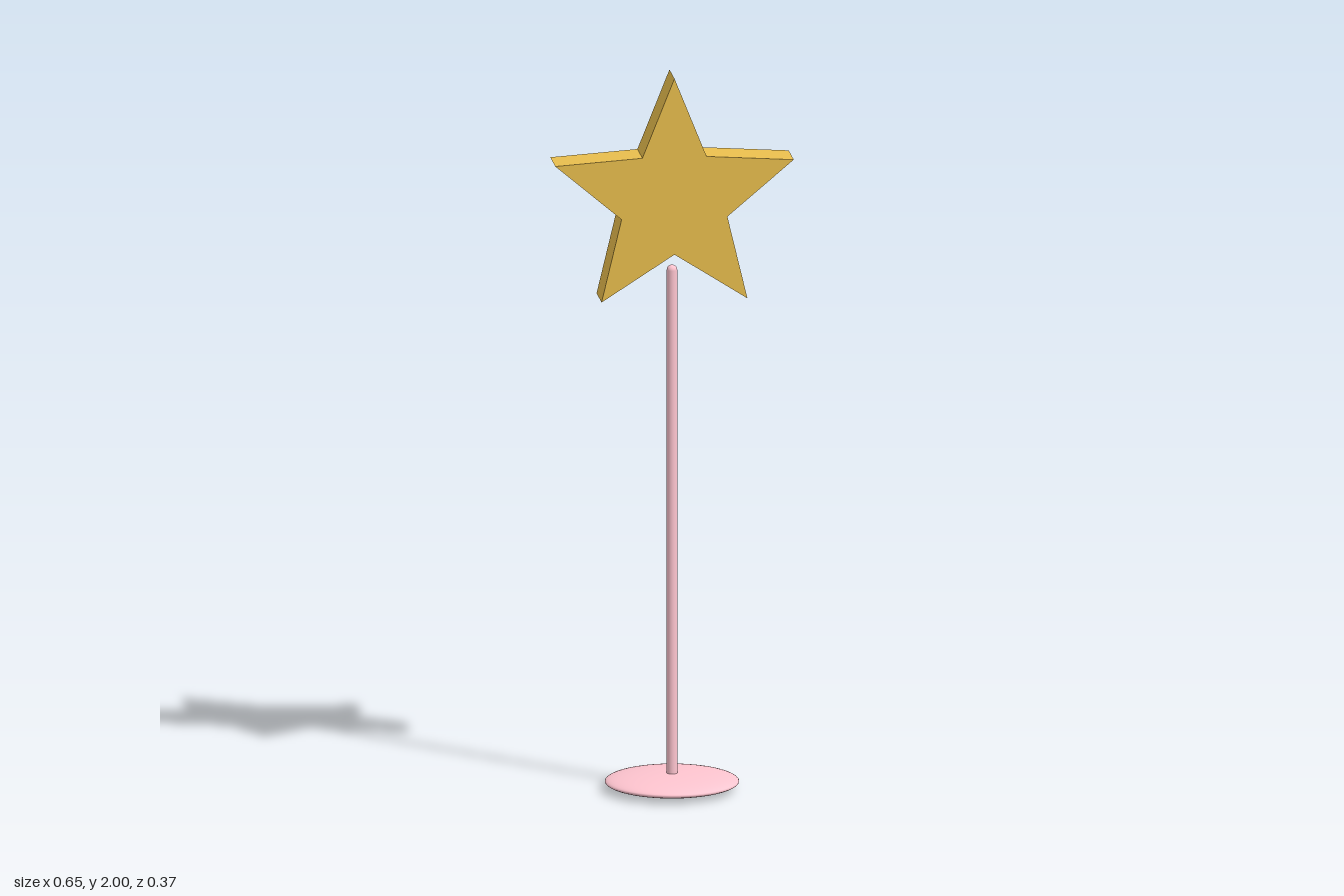
import * as THREE from 'three';

export function createModel() {
  const group = new THREE.Group();
  const pink = new THREE.MeshStandardMaterial({ color: 0xffc5d0 });
  const gold = new THREE.MeshStandardMaterial({ color: 0xeabf4e });

  const add = (name, geometry, material, y) => {
    const mesh = new THREE.Mesh(geometry, material);
    mesh.name = name;
    mesh.position.y = y;
    group.add(mesh);
    return mesh;
  };

  // Flattened round foot
  const base = new THREE.SphereGeometry(0.183, 48, 24);
  base.scale(1, 0.023 / 0.183, 1);
  add('base', base, pink, 0.023);

  // Slim pole with a rounded tip, ending just below the star's lower notch
  const radius = 0.0145, bottom = 0.01, top = 1.467;
  add('pole', new THREE.CapsuleGeometry(radius, top - bottom - 2 * radius, 8, 24), pink, (top + bottom) / 2);

  // Five-pointed star: right half outline, mirrored to the left
  const half = [[0, 2], [0.088, 1.78], [0.327, 1.764], [0.145, 1.61], [0.2, 1.38], [0, 1.508]];
  const mirrored = half.slice(1, -1).reverse().map(([x, y]) => [-x, y]);
  const outline = [...half, ...mirrored].map(([x, y]) => new THREE.Vector2(x, y));
  const depth = 0.11;
  const star = new THREE.ExtrudeGeometry(new THREE.Shape(outline), { depth, bevelEnabled: false });
  star.translate(0, 0, -depth / 2);
  add('star', star, gold, 0);

  return group;
}
